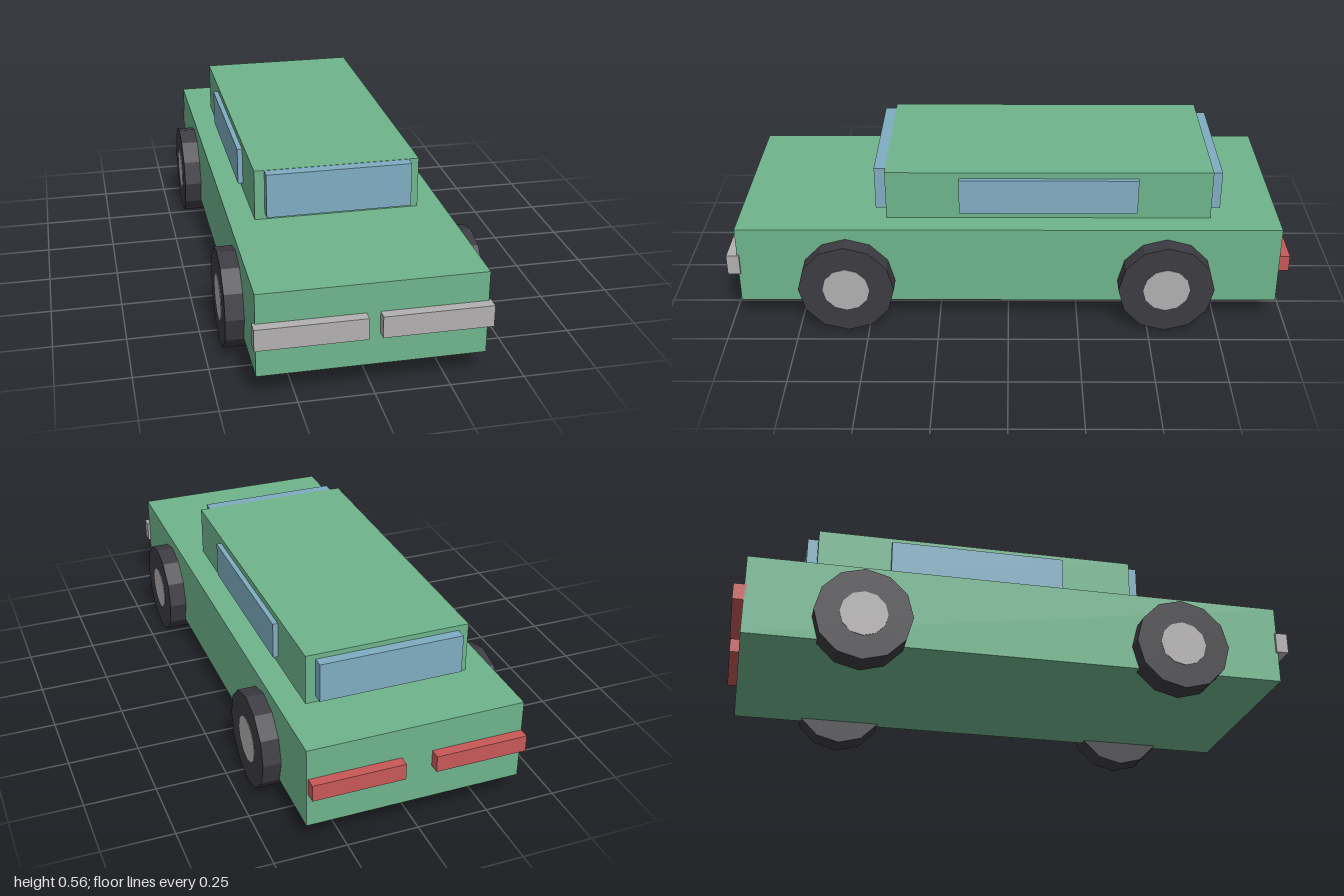
import * as THREE from 'three';

const paint = (color) => new THREE.MeshStandardMaterial({ color, flatShading: true });

export function createModel() {
  const car = new THREE.Group();
  car.name = 'car';
  const green = paint(0x6fb58d), glass = paint(0x7fadc2), red = paint(0xc85858);
  const silver = paint(0xb2b0b0), rubber = paint(0x3c3c42);

  // Box given by its extents along each axis
  const box = (name, material, [x0, x1], [y0, y1], [z0, z1]) => {
    const mesh = new THREE.Mesh(new THREE.BoxGeometry(x1 - x0, y1 - y0, z1 - z0), material);
    mesh.position.set((x0 + x1) / 2, (y0 + y1) / 2, (z0 + z1) / 2);
    mesh.name = name;
    car.add(mesh);
  };

  // Body and cabin
  box('body', green, [-0.377, 0.377], [0.087, 0.378], [-0.963, 0.963]);
  box('cabin', green, [-0.288, 0.288], [0.378, 0.558], [-0.72, 0.435]);

  // Windows
  box('windshield', glass, [-0.253, 0.253], [0.4, 0.557], [0.43, 0.475]);
  box('rearWindow', glass, [-0.253, 0.253], [0.4, 0.54], [-0.757, -0.715]);
  box('leftWindow', glass, [0.28, 0.306], [0.404, 0.535], [-0.458, 0.175]);
  box('rightWindow', glass, [-0.306, -0.28], [0.404, 0.535], [-0.458, 0.175]);

  // Lights
  box('leftHeadlight', silver, [0.022, 0.386], [0.2, 0.275], [0.955, 1]);
  box('rightHeadlight', silver, [-0.387, -0.023], [0.2, 0.275], [0.955, 1]);
  box('leftTaillight', red, [0.052, 0.371], [0.21, 0.269], [-1, -0.955]);
  box('rightTaillight', red, [-0.377, -0.055], [0.21, 0.269], [-1, -0.955]);

  // Twelve-sided wheels with hubs just proud of the tyres
  const tyreGeometry = new THREE.CylinderGeometry(0.17, 0.17, 0.094, 12).rotateZ(Math.PI / 2);
  const hubGeometry = new THREE.CylinderGeometry(0.083, 0.083, 0.098, 12).rotateZ(Math.PI / 2);
  for (const [end, z] of [['front', 0.575], ['rear', -0.56]]) {
    for (const [side, s] of [['Left', 1], ['Right', -1]]) {
      const wheel = new THREE.Group();
      wheel.name = `${end}${side}Wheel`;
      const tyre = new THREE.Mesh(tyreGeometry, rubber);
      tyre.name = 'tyre';
      const hub = new THREE.Mesh(hubGeometry, silver);
      hub.name = 'hub';
      wheel.add(tyre, hub);
      wheel.position.set(s * 0.393, 0.17, z);
      car.add(wheel);
    }
  }
  return car;
}
